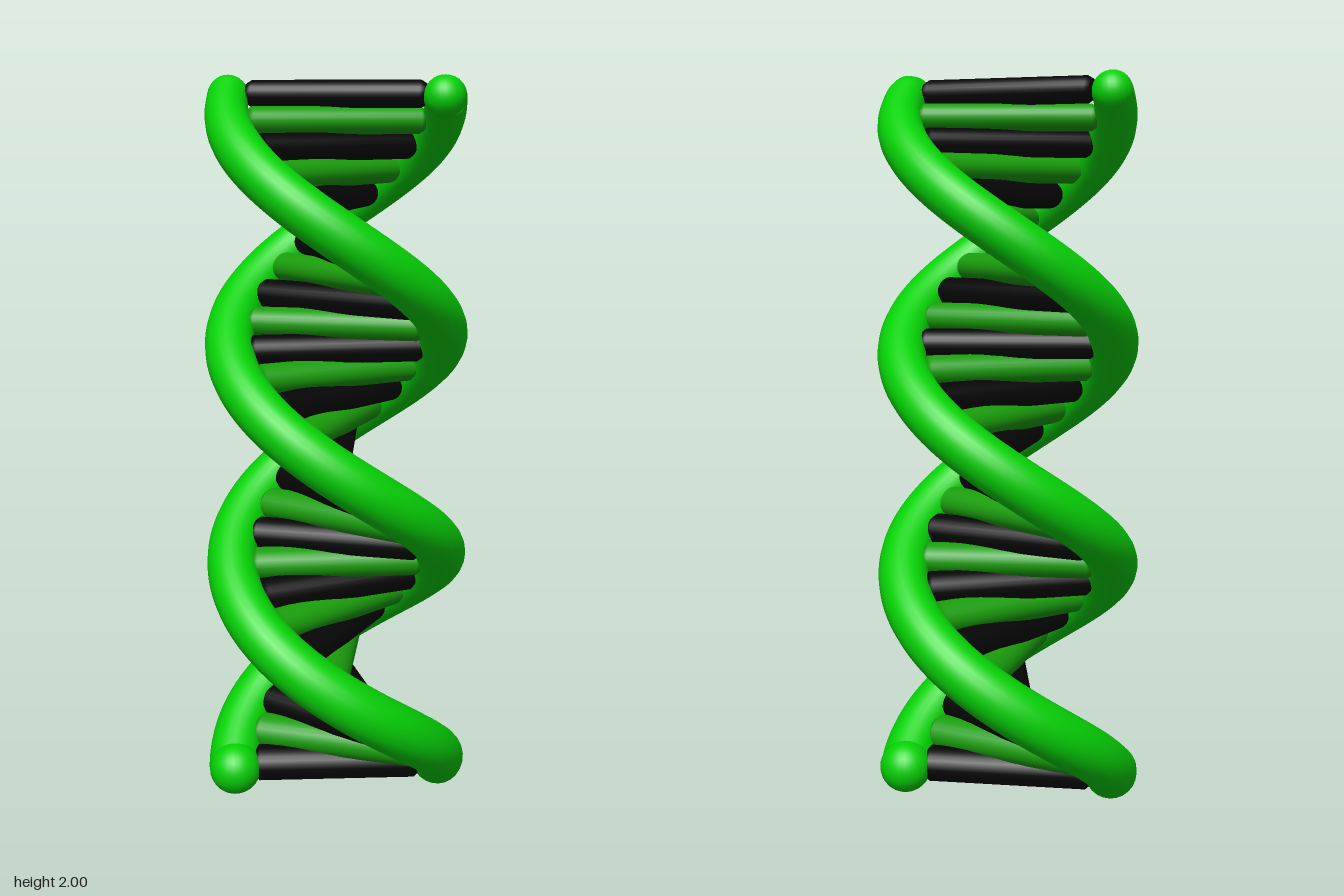
import * as THREE from 'three';

const HALF_TURN = 0.612;            // height of half a turn
const BOTTOM = 0.072, TOP = 1.944;  // strand centreline ends
const RUNGS = 29;

// Height along the model as 0..1, and the twist angle at a height
const level = (y) => (y - BOTTOM) / (TOP - BOTTOM);
const twist = (y) => ((1.57 - y) / HALF_TURN) * Math.PI;
// Everything gets slightly slimmer towards the top
const helixRadius = (y) => THREE.MathUtils.lerp(0.292, 0.286, level(y));
const rungHeight = (y) => THREE.MathUtils.lerp(0.05, 0.036, level(y));
const rungDepth = (y) => THREE.MathUtils.lerp(0.058, 0.041, level(y));
// The strands also narrow just before their top ends
const strandRadius = (y) =>
  THREE.MathUtils.lerp(0.073, 0.062, level(y)) - 0.007 * THREE.MathUtils.smoothstep(y, 1.8, TOP);

// Helix whose ends run on level for a short stretch
class Helix extends THREE.Curve {
  constructor(offset, bottomRun, topRun) {
    super();
    Object.assign(this, { offset, bottomRun, topRun });
  }
  getPoint(t, target = new THREE.Vector3()) {
    const h = THREE.MathUtils.lerp(BOTTOM - this.bottomRun, TOP + this.topRun, t);
    const y = THREE.MathUtils.clamp(h, BOTTOM, TOP);
    const a = twist(h) + this.offset;
    const r = helixRadius(y);
    return target.set(r * Math.sin(a), y, r * Math.cos(a));
  }
}

// Tapered tube along a helix, with rounded ends
function createStrand(path, material) {
  const strand = new THREE.Group();
  const steps = 240, sides = 24;
  const geometry = new THREE.TubeGeometry(path, steps, 1, sides, false);
  const pos = geometry.attributes.position;
  const v = new THREE.Vector3();
  for (let i = 0; i <= steps; i++) {
    const centre = path.getPointAt(i / steps);
    const radius = strandRadius(centre.y);
    for (let j = 0; j <= sides; j++) {
      const k = i * (sides + 1) + j;
      v.fromBufferAttribute(pos, k).sub(centre).multiplyScalar(radius).add(centre);
      pos.setXYZ(k, v.x, v.y, v.z);
    }
  }
  const tube = new THREE.Mesh(geometry, material);
  tube.name = 'strandTube';
  strand.add(tube);
  for (const t of [0, 1]) {
    const end = path.getPoint(t);
    const cap = new THREE.Mesh(new THREE.SphereGeometry(strandRadius(end.y), 24, 16), material);
    cap.name = 'strandEnd';
    cap.position.copy(end);
    strand.add(cap);
  }
  return strand;
}

export function createModel() {
  const model = new THREE.Group();
  model.name = 'doubleHelix';
  const strandGreen = new THREE.MeshStandardMaterial({ color: 0x06d206 });
  const rungGreen = new THREE.MeshStandardMaterial({ color: 0x1a9e0c });
  const rungBlack = new THREE.MeshStandardMaterial({ color: 0x060606 });

  // Two opposite strands; the second reaches a little further at the top
  const strandA = createStrand(new Helix(0, 0.018, 0), strandGreen);
  strandA.name = 'strandA';
  const strandB = createStrand(new Helix(Math.PI, 0.018, 0.02), strandGreen);
  strandB.name = 'strandB';
  model.add(strandA, strandB);

  // Rungs between the strands: slightly flattened bars with softened ends
  const profile = [[0, -0.237], [0.75, -0.237], [1, -0.222], [1, 0.222], [0.75, 0.237], [0, 0.237]]
    .map(([r, h]) => new THREE.Vector2(r, h));
  for (let i = 0; i < RUNGS; i++) {
    const y = THREE.MathUtils.lerp(0.074, 1.95, i / (RUNGS - 1));
    const geometry = new THREE.LatheGeometry(profile, 24)
      .scale(rungHeight(y), 1, rungDepth(y))
      .rotateZ(Math.PI / 2);
    const rung = new THREE.Mesh(geometry, i % 2 ? rungGreen : rungBlack);
    rung.name = 'rung';
    rung.position.y = y;
    rung.rotation.y = twist(y) - Math.PI / 2;
    model.add(rung);
  }
  return model;
}
